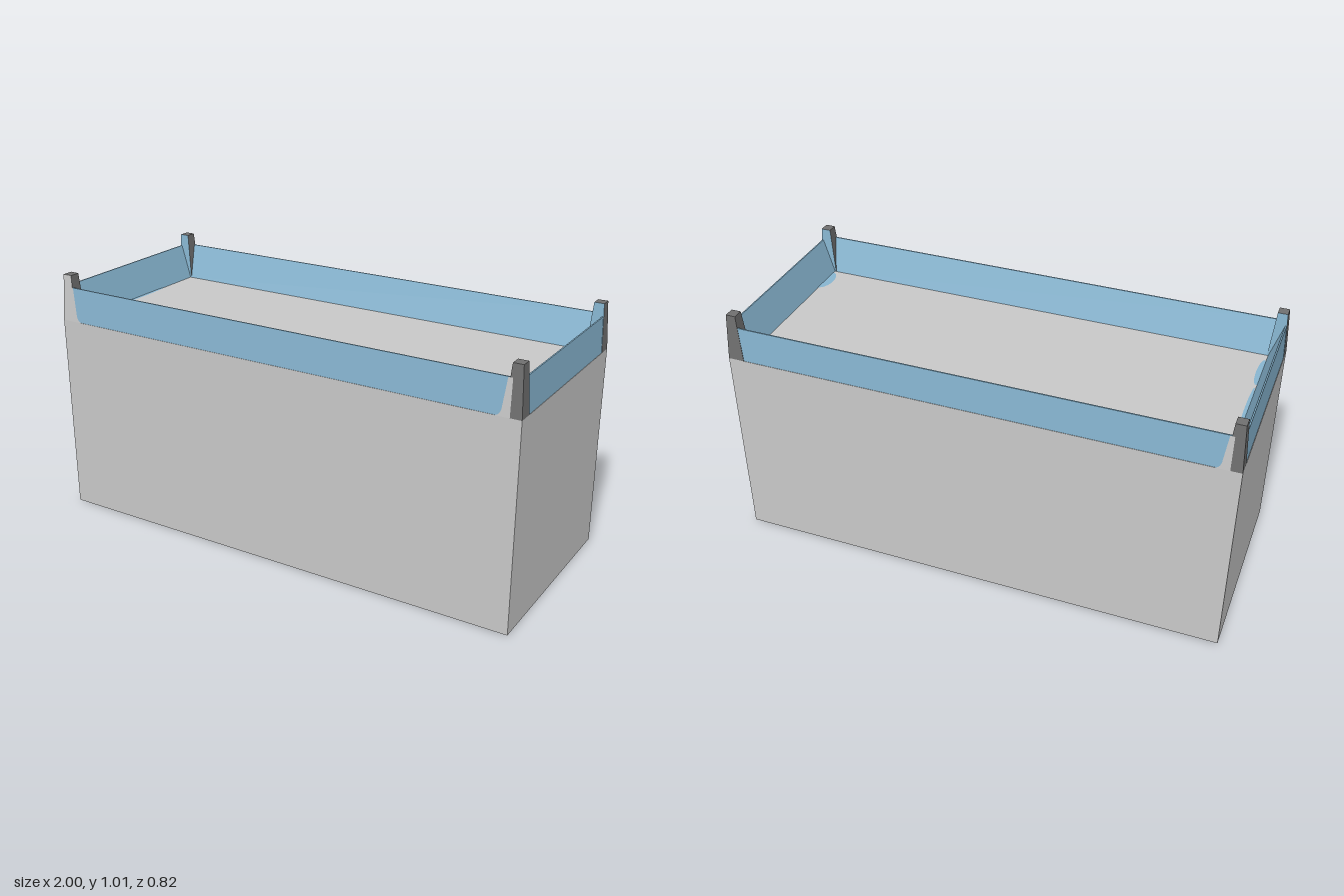
import * as THREE from 'three';

const HX = 1, HZ = 0.41;            // half footprint
const ROOF = 0.82, RAIL = 0.96, TOP = 1.01;
const SLOPE = 0.01 / (TOP - ROOF);  // outward faces lean in slightly

const wallGrey = new THREE.MeshStandardMaterial({ color: 0xc8c8c8, name: 'wallGrey' });
const glassBlue = new THREE.MeshStandardMaterial({ color: 0x87b5d0, name: 'glassBlue' });
const postGrey = new THREE.MeshStandardMaterial({ color: 0x707070, name: 'postGrey' });

function add(group, name, geometry, material) {
  const mesh = new THREE.Mesh(geometry, material);
  mesh.name = name;
  group.add(mesh);
  return mesh;
}

// Wedge-shaped parapet, running along x with its outside towards +z
function parapet(length, half) {
  const inset = 0.0015;
  const s = new THREE.Shape([
    new THREE.Vector2(half - inset, ROOF),
    new THREE.Vector2(half - inset - SLOPE * (RAIL - ROOF), RAIL),
    new THREE.Vector2(half - 0.014, RAIL),
    new THREE.Vector2(half - 0.06, ROOF),
  ]);
  const g = new THREE.ExtrudeGeometry(s, { depth: length, bevelEnabled: false });
  g.translate(0, 0, -length / 2);
  return g.rotateY(-Math.PI / 2);
}

// Tapered corner post at the corner given by signs sx, sz
function postGeometry(sx, sz) {
  const g = new THREE.BoxGeometry(1, 1, 1);
  const p = g.attributes.position;
  for (let i = 0; i < p.count; i++) {
    const up = p.getY(i) > 0;
    const outX = p.getX(i) * sx > 0, outZ = p.getZ(i) * sz > 0;
    const x = outX ? HX - (up ? 0.01 : 0) : up ? 0.951 : 0.935;
    const z = outZ ? HZ - (up ? 0.01 : 0) : up ? 0.358 : 0.35;
    p.setXYZ(i, sx * x, up ? TOP : ROOF, sz * z);
  }
  g.computeVertexNormals();
  return g;
}

// Grey plate beside a post with a rounded lower edge, lying on a long parapet
function endPlate(group, name, x0, x1, sx, sz) {
  const h = RAIL - ROOF;
  const s = new THREE.Shape();
  s.moveTo(sx * x0, 0);
  s.lineTo(sx * x0, h);
  s.lineTo(sx * (x1 + 0.028), h);
  s.lineTo(sx * (x1 + 0.014), 0.03);
  s.quadraticCurveTo(sx * (x1 + 0.01), 0.004, sx * (x1 - 0.012), 0);
  const holder = new THREE.Group();
  holder.name = name;
  // the outline is mirrored when turned to the back
  const m = add(holder, 'plate', new THREE.ShapeGeometry(s),
    wallGrey);
  m.rotation.x = -Math.atan(SLOPE);
  m.position.set(0, ROOF, HZ + 0.0015);
  if (sz < 0) holder.rotation.y = Math.PI;
  group.add(holder);
}

export function createModel() {
  const model = new THREE.Group();
  model.name = 'building';

  // Main block with flat roof
  const block = new THREE.BoxGeometry(2 * HX, ROOF, 2 * HZ).translate(0, ROOF / 2, 0);
  add(model, 'mainBlock', block, wallGrey);

  // Four blue parapets
  for (const s of [1, -1]) {
    const long = add(model, s > 0 ? 'frontParapet' : 'backParapet', parapet(1.894, HZ), glassBlue);
    const short = add(model, s > 0 ? 'leftParapet' : 'rightParapet', parapet(0.714, HX), glassBlue);
    long.rotation.y = s > 0 ? 0 : Math.PI;
    short.rotation.y = s * Math.PI / 2;
  }

  // Corner posts, blue on the inner face; one has a pale front
  for (const sx of [1, -1]) for (const sz of [1, -1]) {
    const mats = Array(6).fill(postGrey);
    mats[sz > 0 ? 5 : 4] = glassBlue;
    if (sx < 0 && sz > 0) mats[4] = wallGrey;
    add(model, 'cornerPost', postGeometry(sx, sz), mats);
  }

  // Pale ends of the long parapets
  endPlate(model, 'frontLeftEnd', 0.957, 0.912, 1, 1);
  endPlate(model, 'frontRightEnd', 0.985, 0.914, -1, 1);
  endPlate(model, 'backRightEnd', 0.957, 0.912, 1, -1);

  // Small blue patches on the roof edge
  const patches = [[0.945, 0.265, 0.04, 0.07], [-0.935, 0.22, 0.016, 0.09], [-0.935, -0.02, 0.008, 0.13]];
  for (const [x, z, rx, rz] of patches) {
    const patch = add(model, 'roofPatch', new THREE.CircleGeometry(1, 24).rotateX(-Math.PI / 2), glassBlue);
    patch.scale.set(rx, 1, rz);
    patch.position.set(x, ROOF + 0.002, z);
  }
  return model;
}
